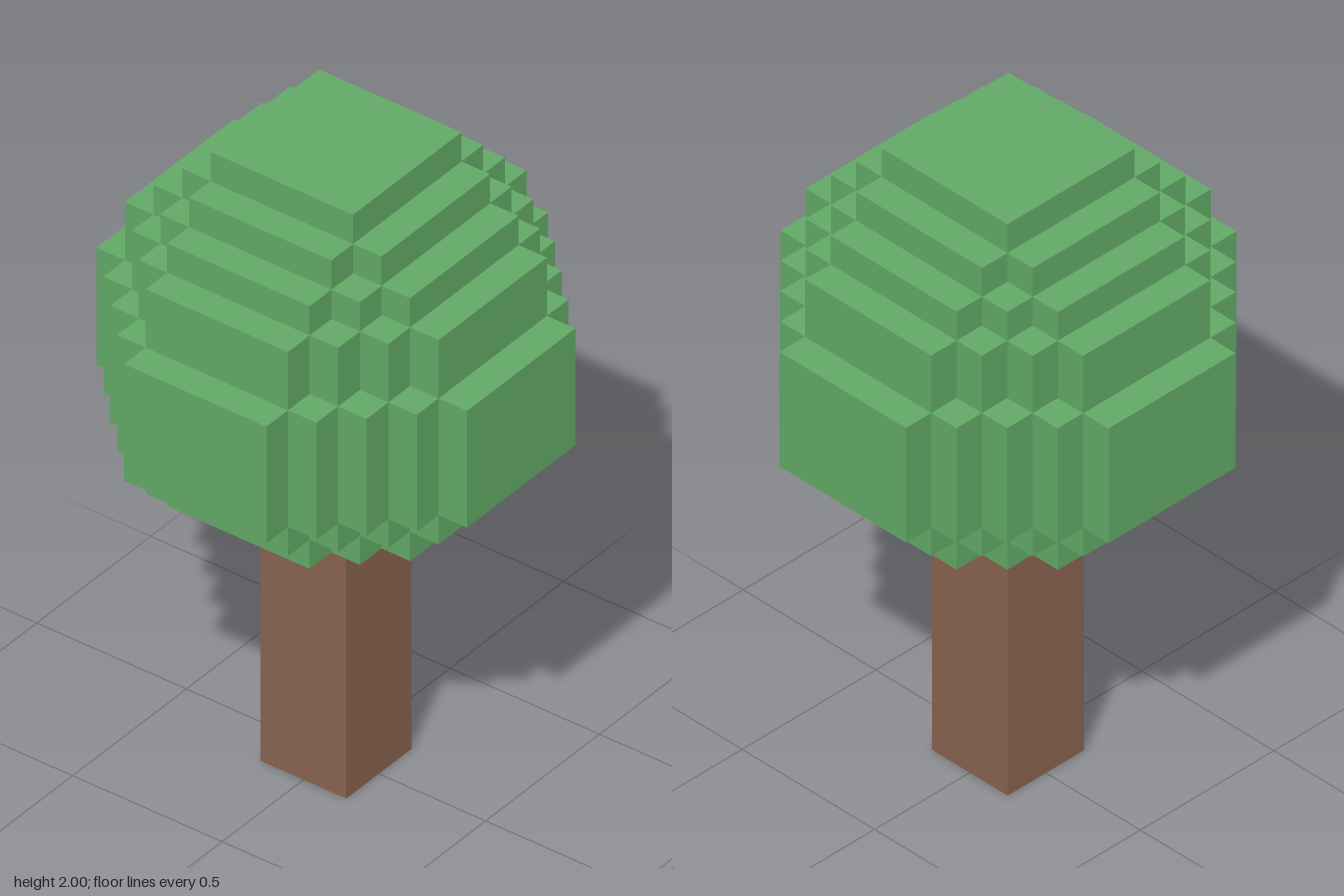
import * as THREE from 'three';

const UNIT = 2 / 21; // size of one block
const CORE = 2.5;    // half-width of the flat sides, in blocks

// Stepped outline: one corner staircase, turned four times
function steppedOutline(half) {
  const corner = [[half, CORE]];
  for (let k = 1; k <= half - CORE; k++) {
    corner.push([half - k, CORE + k - 1], [half - k, CORE + k]);
  }
  const points = [];
  for (let turn = 0; turn < 4; turn++) {
    for (const [x, y] of corner) {
      const p = [[x, y], [-y, x], [-x, -y], [y, -x]][turn];
      points.push(new THREE.Vector2(p[0] * UNIT, p[1] * UNIT));
    }
  }
  return new THREE.Shape(points);
}

export function createModel() {
  const tree = new THREE.Group();
  tree.name = 'tree';

  const leafGreen = new THREE.MeshStandardMaterial({ color: 0x61a865 });
  leafGreen.name = 'leaf green';
  const barkBrown = new THREE.MeshStandardMaterial({ color: 0x87624e });
  barkBrown.name = 'bark brown';

  // Square trunk
  const trunk = new THREE.Mesh(new THREE.BoxGeometry(3 * UNIT, 10 * UNIT, 3 * UNIT), barkBrown);
  trunk.name = 'trunk';
  trunk.position.y = 5 * UNIT;
  tree.add(trunk);

  // Crown layers from bottom to top: [half-width, height] in blocks
  const crown = new THREE.Group();
  crown.name = 'crown';
  let level = 10;
  for (const [half, height] of [[4.5, 1], [5.5, 1], [6.5, 4], [5.5, 2], [4.5, 1], [3.5, 1], [2.5, 1]]) {
    const geometry = new THREE.ExtrudeGeometry(steppedOutline(half), {
      depth: height * UNIT, bevelEnabled: false,
    });
    geometry.rotateX(-Math.PI / 2);
    const layer = new THREE.Mesh(geometry, leafGreen);
    layer.name = 'leafLayer';
    layer.position.y = level * UNIT;
    crown.add(layer);
    level += height;
  }
  tree.add(crown);

  return tree;
}
